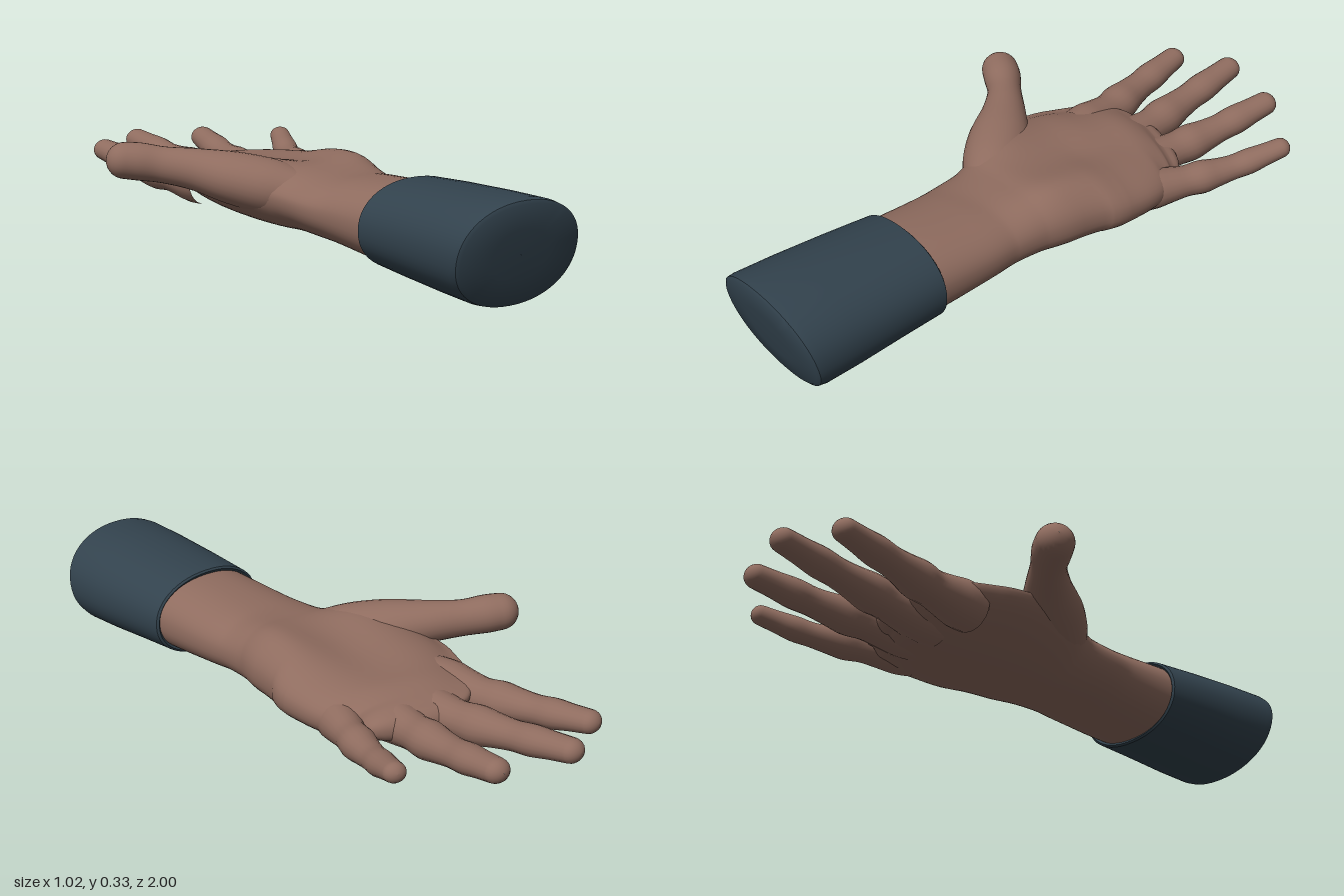
import * as THREE from 'three';
import { toCreasedNormals } from 'three/addons/utils/BufferGeometryUtils.js';

const skin = new THREE.MeshStandardMaterial({ color: 0x8f6c5f });
skin.name = 'skin';
const cloth = new THREE.MeshStandardMaterial({ color: 0x32424d, side: THREE.DoubleSide });
cloth.name = 'darkCloth';

const UP = new THREE.Vector3(0, 1, 0);

// Sweeps rounded cross-sections [x, y, z, halfWidth, halfHeight] along a path.
function loft(sections, { steps = 6, sides = 32, power = 2, capSteps = 7, straight = false, warp } = {}) {
  const path = new THREE.CatmullRomCurve3(
    sections.map(([x, y, z]) => new THREE.Vector3(x, y, z)), false, 'catmullrom', 0.5);
  const size = new THREE.CatmullRomCurve3(
    sections.map(([, , , w, h]) => new THREE.Vector3(w, h, 0)), false, 'catmullrom', 0.5);
  const whole = sections[sections.length - 1].map((v, i) => v - sections[0][i]);
  const axis = new THREE.Vector3(whole[0], whole[1], whole[2]).normalize();
  const rings = [];
  const count = (sections.length - 1) * steps;
  for (let i = 0; i <= count; i++) {
    const t = i / count;
    const r = size.getPoint(t);
    rings.push({ c: path.getPoint(t), d: straight ? axis : path.getTangent(t), w: r.x, h: r.y });
  }
  // Dome over the far end
  const end = rings[rings.length - 1];
  for (let i = 1; i <= capSteps; i++) {
    const a = (i / capSteps) * Math.PI / 2;
    const k = Math.max(Math.cos(a), 0.01);
    rings.push({
      c: end.c.clone().addScaledVector(end.d, Math.sin(a) * Math.min(end.w, end.h)),
      d: end.d, w: end.w * k, h: end.h * k,
    });
  }
  const pos = [], index = [];
  const round = (v) => Math.sign(v) * Math.pow(Math.abs(v), 2 / power);
  rings.forEach(({ c, d, w, h }, i) => {
    const side = new THREE.Vector3().crossVectors(UP, d).normalize();
    const normal = new THREE.Vector3().crossVectors(d, side);
    for (let j = 0; j < sides; j++) {
      const a = (j / sides) * Math.PI * 2;
      const p = c.clone()
        .addScaledVector(side, round(Math.cos(a)) * w)
        .addScaledVector(normal, round(Math.sin(a)) * h);
      if (warp) warp(p);
      pos.push(p.x, p.y, p.z);
      if (i === rings.length - 1) continue;
      const j2 = (j + 1) % sides;
      const A = i * sides + j, B = i * sides + j2, C = A + sides, D = B + sides;
      index.push(A, B, C, B, D, C);
    }
  });
  const geo = new THREE.BufferGeometry();
  geo.setAttribute('position', new THREE.Float32BufferAttribute(pos, 3));
  geo.setIndex(index);
  geo.computeVertexNormals();
  return geo;
}

// Soft hills and hollows of the palm: [x, z, radiusX, radiusZ, height]
const PALM_RELIEF = [
  [0.06, -0.16, 0.11, 0.2, -0.03],
  [0.25, -0.02, 0.08, 0.16, 0.022],
  [-0.08, 0.0, 0.1, 0.1, 0.018],
  [0.05, -0.43, 0.18, 0.06, 0.008],
];
function shapePalm(p) {
  const upper = THREE.MathUtils.smoothstep(p.y, 0.15, 0.23);
  const lift = THREE.MathUtils.smoothstep(-p.x, -0.05, 0.28) * (1 - upper) * 0.05;
  for (const [x, z, rx, rz, h] of PALM_RELIEF) {
    p.y += h * upper * Math.exp(-(((p.x - x) / rx) ** 2) - ((p.z - z) / rz) ** 2);
  }
  p.y += lift;
}

// Finger: path points from inside the palm to the tip, thick at joints
const JOINTS = [1, 1.08, 1.0, 0.93, 1.06, 0.97, 0.92, 1.03, 0.98, 0.97];
function finger(points, r0, r1) {
  const path = new THREE.CatmullRomCurve3(points.map((p) => new THREE.Vector3(...p)));
  return loft(JOINTS.map((k, i) => {
    const t = i / (JOINTS.length - 1);
    const p = path.getPointAt(t);
    const r = THREE.MathUtils.lerp(r0, r1, t) * k;
    return [p.x, p.y, p.z, r, r * THREE.MathUtils.lerp(1, 0.88, t)];
  }), { steps: 4, sides: 20 });
}

export function createModel() {
  const model = new THREE.Group();
  model.name = 'openHand';
  const add = (name, geo, mat) => {
    const mesh = new THREE.Mesh(geo, mat);
    mesh.name = name;
    model.add(mesh);
  };

  // Forearm, wrist and palm
  add('palmAndWrist', loft([
    [0.225, 0.165, 0.6, 0.19, 0.12],
    [0.2, 0.163, 0.47, 0.19, 0.121],
    [0.165, 0.165, 0.3, 0.192, 0.108],
    [0.137, 0.165, 0.2, 0.196, 0.1],
    [0.118, 0.17, 0.1, 0.207, 0.104],
    [0.1, 0.175, 0.02, 0.238, 0.112],
    [0.062, 0.176, -0.1, 0.282, 0.115],
    [0.045, 0.17, -0.2, 0.293, 0.11],
    [0.04, 0.165, -0.3, 0.28, 0.1],
    [0.035, 0.16, -0.4, 0.25, 0.085],
    [0.04, 0.157, -0.47, 0.205, 0.07],
    [0.045, 0.157, -0.51, 0.16, 0.05],
  ], { sides: 56, power: 2.25, warp: shapePalm }), skin);

  // Thumb with the mound at its base
  add('thumb', loft([
    [0.03, 0.19, 0.12, 0.06, 0.06],
    [-0.05, 0.205, 0.03, 0.1, 0.085],
    [-0.15, 0.228, -0.05, 0.1, 0.083],
    [-0.25, 0.25, -0.125, 0.072, 0.067],
    [-0.34, 0.262, -0.18, 0.056, 0.058],
    [-0.41, 0.272, -0.213, 0.061, 0.06],
    [-0.455, 0.276, -0.23, 0.06, 0.058],
  ], { sides: 28 }), skin);

  // Four fingers
  const fingers = {
    indexFinger: [[[-0.14, 0.165, -0.33], [-0.2, 0.165, -0.5], [-0.255, 0.172, -0.63], [-0.325, 0.2, -0.842]], 0.075, 0.042],
    middleFinger: [[[-0.02, 0.15, -0.38], [-0.055, 0.158, -0.55], [-0.105, 0.17, -0.71], [-0.167, 0.207, -0.96]], 0.073, 0.043],
    ringFinger: [[[0.09, 0.145, -0.38], [0.086, 0.152, -0.55], [0.08, 0.166, -0.71], [0.072, 0.203, -0.935]], 0.071, 0.043],
    littleFinger: [[[0.222, 0.15, -0.33], [0.265, 0.16, -0.52], [0.288, 0.172, -0.66], [0.322, 0.212, -0.81]], 0.064, 0.036],
  };
  for (const [name, [points, r0, r1]] of Object.entries(fingers)) add(name, finger(points, r0, r1), skin);

  // Sleeve cuff with a folded-in lip and a slanted closed end
  const slant = (p) => {
    p.z += 0.04 * ((p.y - 0.163) / 0.16) * THREE.MathUtils.smoothstep(p.z, 0.5, 0.9);
  };
  const options = { steps: 1, sides: 56, power: 2.15, capSteps: 0, straight: true, warp: slant };
  const cuff = loft([
    [0.209, 0.165, 0.5, 0.18, 0.11],
    [0.205, 0.165, 0.481, 0.198, 0.132],
    [0.206, 0.165, 0.486, 0.206, 0.138],
    [0.232, 0.165, 0.63, 0.212, 0.148],
    [0.262, 0.164, 0.79, 0.217, 0.157],
    [0.286, 0.163, 0.92, 0.219, 0.161],
    [0.29, 0.163, 0.945, 0.216, 0.158],
    [0.291, 0.163, 0.952, 0.205, 0.148],
    [0.292, 0.163, 0.958, 0.1, 0.075],
    [0.292, 0.163, 0.959, 0.001, 0.001],
  ], options);
  add('sleeveCuff', toCreasedNormals(cuff, 0.7), cloth);

  return model;
}
